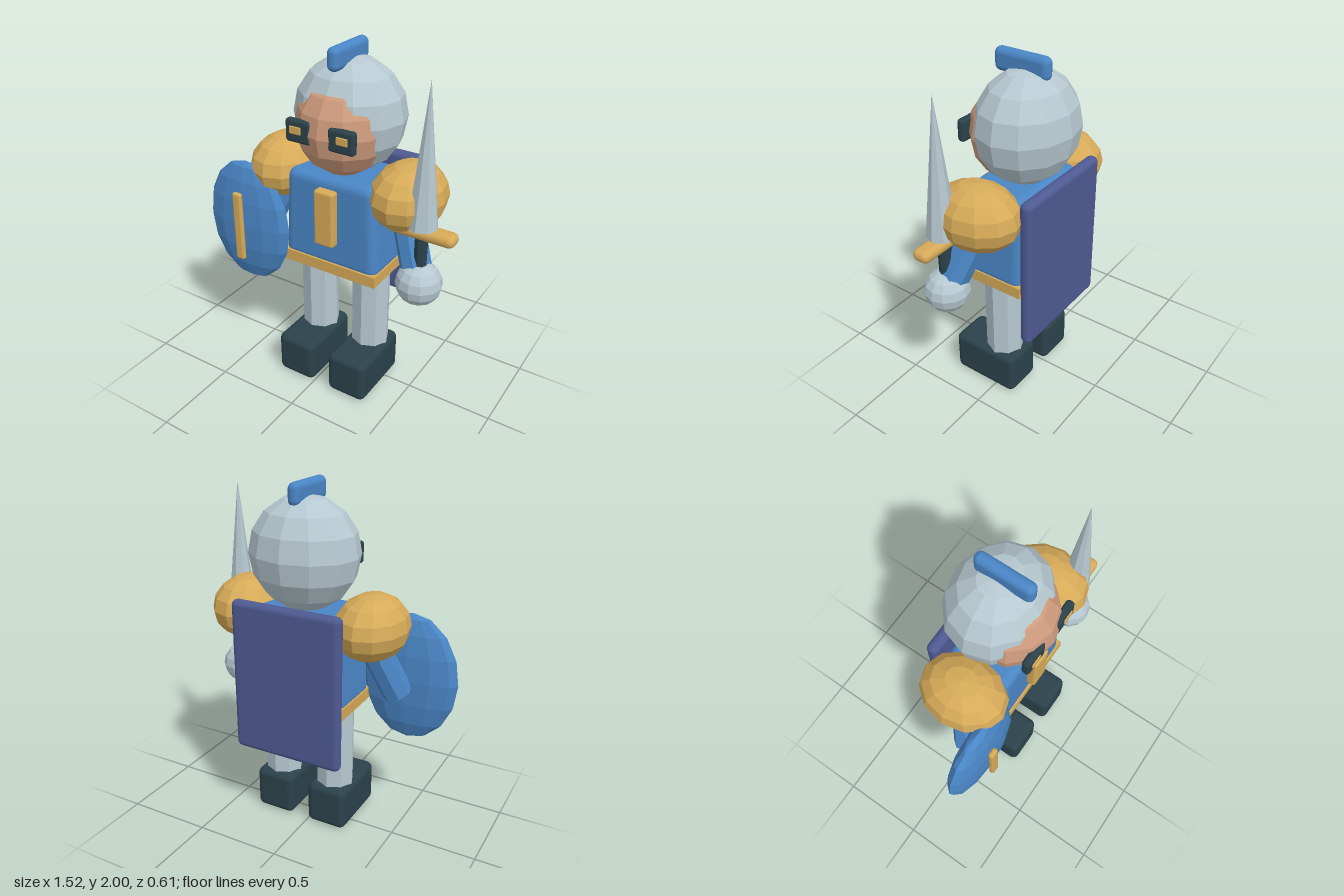
import * as THREE from 'three';
import { RoundedBoxGeometry } from 'three/addons/geometries/RoundedBoxGeometry.js';

const CX = 0.05; // the body's own middle line

export function createModel() {
  const knight = new THREE.Group();
  knight.name = 'knight';

  const mat = (name, color) => {
    const m = new THREE.MeshStandardMaterial({ color });
    m.name = name;
    return m;
  };
  const blue = mat('blue', 0x4a86c6);
  const gold = mat('gold', 0xd6aa58);
  const silver = mat('silver', 0xb6c8d0);
  const skin = mat('skin', 0xcd9a7c);
  const dark = mat('dark slate', 0x2b424a);
  const indigo = mat('indigo', 0x4e5a92);

  const add = (name, geometry, material, x, y, z) => {
    const mesh = new THREE.Mesh(geometry, material);
    mesh.name = name;
    mesh.position.set(x, y, z);
    knight.add(mesh);
    return mesh;
  };
  // Faceted normals for the low-poly round parts
  const facet = (g) => {
    const flat = g.toNonIndexed();
    flat.computeVertexNormals();
    return flat;
  };
  const ball = (name, material, [x, y, z], [rx, ry, rz], cols = 12, rows = 8) =>
    add(name, facet(new THREE.SphereGeometry(1, cols, rows).scale(rx, ry, rz)), material, x, y, z);
  const block = (name, material, [x, y, z], [w, h, d], r) =>
    add(name, new RoundedBoxGeometry(w, h, d, 3, r), material, x, y, z);
  const rod = (name, material, a, b, r) => {
    const from = new THREE.Vector3(...a), to = new THREE.Vector3(...b);
    const dir = to.clone().sub(from);
    const mid = from.clone().add(to).multiplyScalar(0.5);
    const mesh = add(name, facet(new THREE.CylinderGeometry(r, r, dir.length(), 8)), material, mid.x, mid.y, mid.z);
    mesh.quaternion.setFromUnitVectors(new THREE.Vector3(0, 1, 0), dir.normalize());
    return mesh;
  };

  // Torso, slightly narrower at the top
  const torso = new RoundedBoxGeometry(0.59, 0.54, 0.37, 3, 0.05);
  const p = torso.attributes.position;
  for (let i = 0; i < p.count; i++) {
    const t = THREE.MathUtils.clamp(p.getY(i) / 0.54 + 0.5, 0, 1);
    p.setX(i, p.getX(i) * (1 - 0.1 * t));
  }
  torso.computeVertexNormals();
  add('torso', torso, blue, CX, 1.055, 0);
  block('chestPlate', gold, [CX, 1.103, 0.2], [0.12, 0.325, 0.07], 0.015);
  add('belt', new THREE.BoxGeometry(0.6, 0.066, 0.39), gold, CX, 0.787, 0);
  block('cape', indigo, [CX, 0.93, -0.247], [0.66, 0.89, 0.07], 0.033);

  // Head, helmet and crest
  ball('head', skin, [CX, 1.572, 0.02], [0.263, 0.267, 0.262]);
  ball('helmet', silver, [CX, 1.62, -0.04], [0.312, 0.31, 0.267]);
  block('crest', blue, [CX, 1.938, -0.01], [0.07, 0.124, 0.325], 0.034);

  // Paired parts; +1 is the model's left
  for (const s of [-1, 1]) {
    const side = s > 0 ? 'left' : 'right';
    block(side + 'EyeFrame', dark, [CX + s * 0.128, 1.582, 0.243], [0.152, 0.125, 0.046], 0.018);
    block(side + 'Eye', gold, [CX + s * 0.139, 1.59, 0.266], [0.068, 0.042, 0.012], 0.005);
    ball(side + 'Shoulder', gold, [CX + s * 0.383, 1.26, 0], [0.2, 0.182, 0.248]);
    rod(side + 'Arm', blue, [CX + s * 0.35, 1.24, -0.01], [CX + s * 0.505, 0.86, 0.1], 0.085);
    rod(side + 'Leg', silver, [CX + s * 0.173, 0.22, 0], [CX + s * 0.173, 0.77, 0], 0.11);
    block(side + 'Boot', dark, [CX + s * 0.173, 0.134, 0.077], [0.245, 0.26, 0.42], 0.04);
  }

  // Sword in the left hand
  ball('leftHand', silver, [0.57, 0.83, 0.11], [0.127, 0.122, 0.125]);
  rod('swordGrip', dark, [0.57, 0.88, 0.11], [0.57, 1.13, 0.11], 0.036);
  block('swordGuard', gold, [0.575, 1.136, 0.11], [0.37, 0.068, 0.1], 0.033);
  add('swordBlade', facet(new THREE.ConeGeometry(0.083, 0.76, 8)), silver, 0.572, 1.55, 0.115);

  // Shield on the right arm
  ball('shield', blue, [-0.483, 0.927, 0.195], [0.282, 0.375, 0.083]);
  block('shieldStripe', gold, [-0.485, 0.928, 0.288], [0.058, 0.425, 0.032], 0.014);

  return knight;
}
